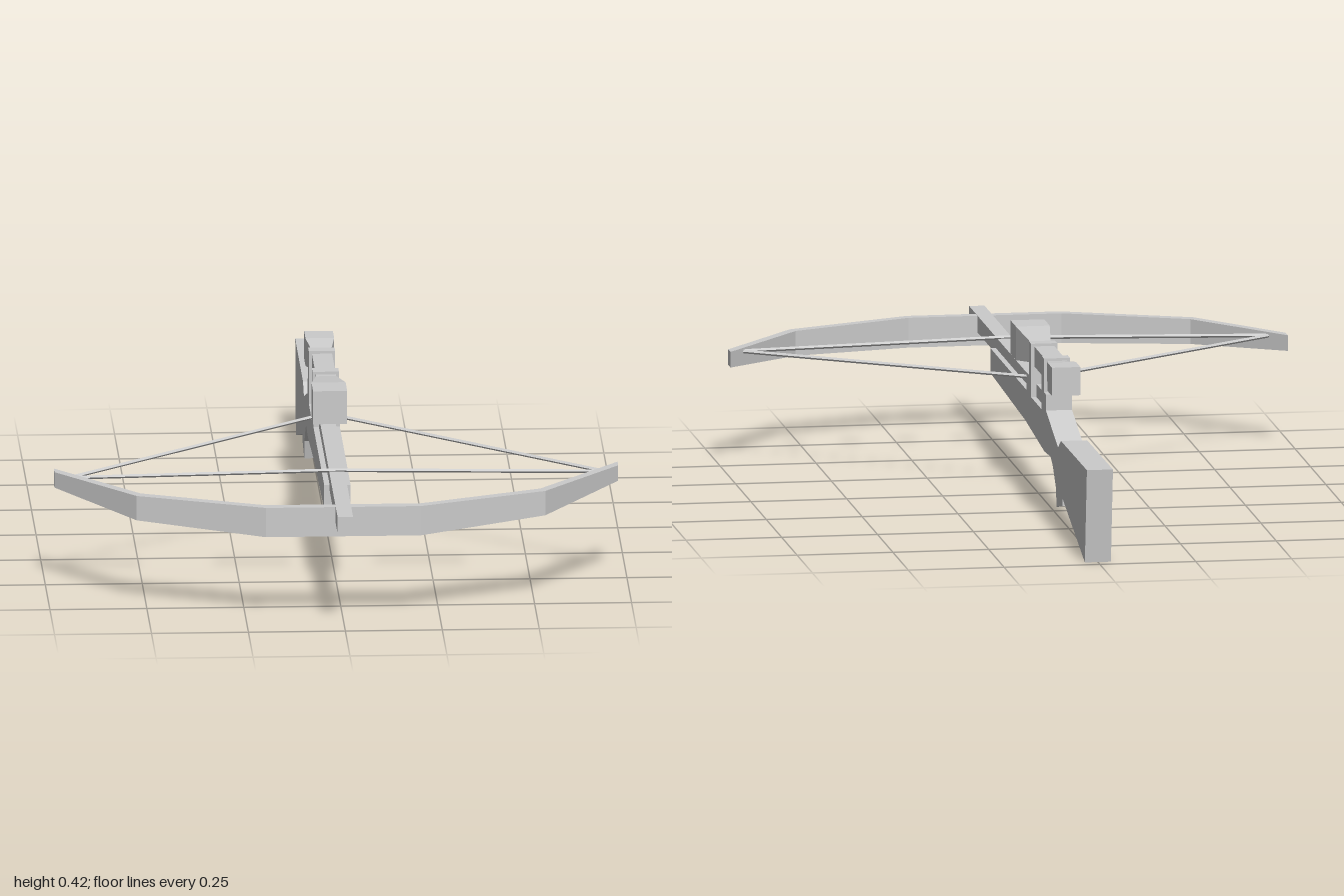
import * as THREE from 'three';

const material = new THREE.MeshStandardMaterial({ color: 0xcccccc, flatShading: true });

export function createModel() {
  const group = new THREE.Group();

  const add = (name, geometry) => {
    const mesh = new THREE.Mesh(geometry, material);
    mesh.name = name;
    group.add(mesh);
    return mesh;
  };
  const shapeOf = (points) => new THREE.Shape(points.map(([a, b]) => new THREE.Vector2(a, b)));
  // Box given by its extents: half width, y range, z range
  const box = (name, halfWidth, y0, y1, z0, z1) =>
    add(name, new THREE.BoxGeometry(halfWidth * 2, y1 - y0, z1 - z0))
      .position.set(0, (y0 + y1) / 2, (z0 + z1) / 2);

  // Stock: side profile as (z, y), extruded across x
  const stock = new THREE.ExtrudeGeometry(shapeOf([
    [0.57, 0.21], [0.57, 0.275], [-0.015, 0.275], [-0.015, 0.322],
    [-0.095, 0.322], [-0.095, 0.27], [-0.265, 0.27], [-0.265, 0.322],
    [-0.335, 0.322], [-0.335, 0.28], [-0.53, 0.22], [-0.58, 0.246],
    [-1, 0.248], [-0.967, 0], [-0.602, 0.1], [-0.602, 0.08],
    [-0.508, 0.06], [-0.495, 0.11], [-0.447, 0.155], [-0.41, 0.173],
    [-0.31, 0.168], [0, 0.192],
  ]), { depth: 0.068, bevelEnabled: false });
  stock.translate(0, 0, -0.034).rotateY(-Math.PI / 2);
  add('stock', stock);

  // Bolt rail running through the receiver
  box('rail', 0.02, 0.26, 0.304, -0.27, 1);

  // Bow: plan outline extruded down, lower edge rising towards the tips
  const outer = [[0.2, 0.896], [0.527, 0.76], [0.727, 0.512]];
  const inner = [[0.727, 0.475], [0.515, 0.735], [0.2, 0.868]];
  const mirror = (points) => points.map(([x, z]) => [-x, z]).reverse();
  const bow = new THREE.ExtrudeGeometry(
    shapeOf([...outer, ...inner, ...mirror(inner), ...mirror(outer)]),
    { depth: 0.1, bevelEnabled: false });
  bow.rotateX(Math.PI / 2).translate(0, 0.303, 0);
  const p = bow.attributes.position;
  for (let i = 0; i < p.count; i++) {
    if (p.getY(i) > 0.25) continue;
    const x = Math.abs(p.getX(i));
    p.setY(i, x < 0.3 ? 0.225 : x < 0.6 ? 0.238 : 0.262);
  }
  bow.computeVertexNormals();
  add('bow', bow);

  // Strings: one drawn back to the receiver, one at rest over the rail
  const string = (name, a, b) => {
    const path = new THREE.LineCurve3(new THREE.Vector3(...a), new THREE.Vector3(...b));
    add(name, new THREE.TubeGeometry(path, 1, 0.005, 4, false));
  };
  for (const [side, s] of [['left', 1], ['right', -1]]) {
    string(side + 'DrawnString', [s * 0.69, 0.293, 0.533], [s * 0.015, 0.307, -0.012]);
    string(side + 'RestString', [s * 0.69, 0.293, 0.533], [0, 0.307, 0.542]);
  }

  // Scope: square tube with flared ends, (half width, z)
  const scope = new THREE.LatheGeometry([
    [0, -0.452], [0.037, -0.452], [0.037, -0.38], [0.026, -0.31],
    [0.026, -0.04], [0.044, 0.09], [0.044, 0.178], [0, 0.178],
  ].map(([r, z]) => new THREE.Vector2(r * Math.SQRT2, z)), 4, Math.PI / 4);
  scope.rotateX(Math.PI / 2);
  add('scope', scope).position.y = 0.377;

  // Scope mounts on the raised blocks of the receiver
  box('frontScopeMount', 0.034, 0.315, 0.41, -0.095, -0.058);
  box('rearScopeMount', 0.034, 0.315, 0.41, -0.302, -0.265);

  return group;
}
